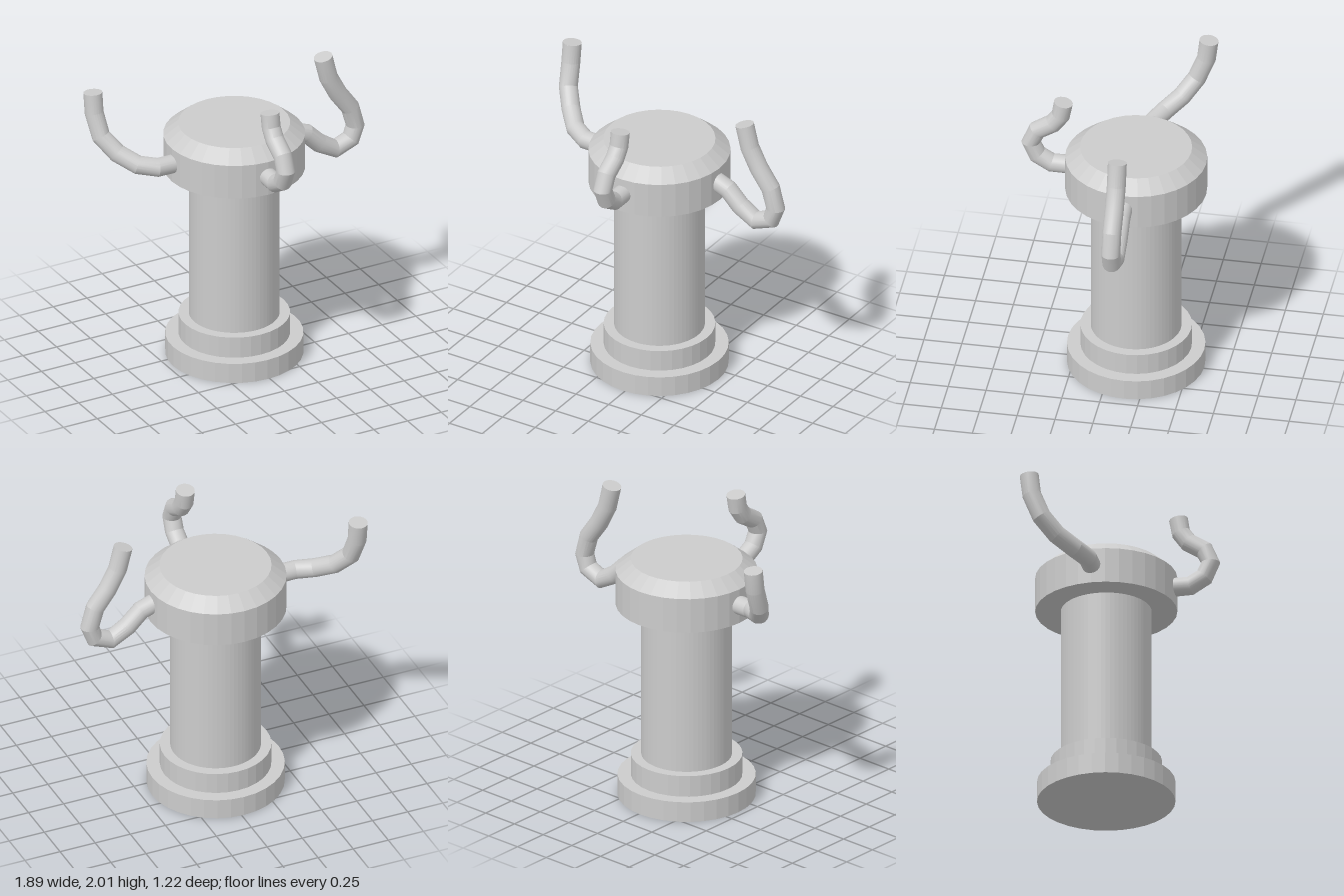
import * as THREE from 'three';
import { toCreasedNormals } from 'three/addons/utils/BufferGeometryUtils.js';

const CX = -0.015, CZ = -0.148;
const ARM_RADIUS = 0.062;
const material = new THREE.MeshStandardMaterial({ color: 0xcccccc });
const faceted = new THREE.MeshStandardMaterial({ color: 0xcccccc, flatShading: true });

// Straight runs between points, with averaged tangents at the bends
class BentPath extends THREE.Curve {
  constructor(points) {
    super();
    this.points = points.map((p) => new THREE.Vector3(...p));
  }
  getPointAt(t) {
    const n = this.points.length - 1;
    const i = Math.min(Math.floor(t * n + 1e-6), n - 1);
    return this.points[i].clone().lerp(this.points[i + 1], t * n - i);
  }
  getTangentAt(t) {
    const n = this.points.length - 1;
    const i = Math.round(t * n);
    const dir = (a, b) => this.points[b].clone().sub(this.points[a]).normalize();
    const before = dir(Math.max(i - 1, 0), Math.max(i, 1));
    const after = dir(Math.min(i, n - 1), Math.min(i + 1, n));
    return before.add(after).normalize();
  }
}

// Upright round section of the body
function drum(name, rTop, rBottom, y0, y1, sides) {
  const mesh = new THREE.Mesh(new THREE.CylinderGeometry(rTop, rBottom, y1 - y0, sides), faceted);
  mesh.name = name;
  mesh.position.set(CX, (y0 + y1) / 2, CZ);
  return mesh;
}

// Bent pipe with a flat disc closing its free end
function arm(name, points) {
  const group = new THREE.Group();
  group.name = name;
  const path = new BentPath(points);
  const tube = new THREE.TubeGeometry(path, points.length - 1, ARM_RADIUS, 24, false);
  const pipe = new THREE.Mesh(toCreasedNormals(tube, 0.3), material);
  pipe.name = name + 'Pipe';
  const tip = new THREE.Mesh(new THREE.CircleGeometry(ARM_RADIUS, 24), material);
  tip.name = name + 'Tip';
  tip.position.copy(path.getPointAt(1));
  tip.quaternion.setFromUnitVectors(new THREE.Vector3(0, 0, 1), path.getTangentAt(1));
  group.add(pipe, tip);
  return group;
}

export function createModel() {
  const model = new THREE.Group();
  model.name = 'pillarWithArms';

  // Stepped foot, column and bevelled head
  model.add(
    drum('base', 0.45, 0.45, 0, 0.14, 32),
    drum('step', 0.363, 0.363, 0.14, 0.287, 32),
    drum('column', 0.295, 0.295, 0.287, 1.36, 64),
    drum('head', 0.462, 0.462, 1.36, 1.6, 32),
    drum('headBevel', 0.364, 0.462, 1.6, 1.68, 32),
  );

  // Left arm dips, then rises
  const leftZ = -0.142;
  model.add(arm('leftArm', [
    [0.38, 1.515], [0.515, 1.465], [0.61, 1.37], [0.73, 1.3], [0.845, 1.345],
    [0.878, 1.437], [0.84, 1.575], [0.75, 1.7], [0.68, 1.835], [0.64, 1.995],
  ].map(([x, y]) => [x, y, leftZ])));

  // Right arm sweeps outward, backward and up
  model.add(arm('rightArm', [
    [-0.4, 1.488, -0.15], [-0.58, 1.49, -0.15], [-0.695, 1.51, -0.21], [-0.793, 1.575, -0.31],
    [-0.867, 1.68, -0.395], [-0.885, 1.83, -0.455], [-0.885, 1.97, -0.472],
  ]));

  // Front arm curls forward, then back up
  model.add(arm('frontArm', [
    [0.25, 1.49], [0.41, 1.49], [0.503, 1.545], [0.546, 1.64], [0.505, 1.733],
    [0.4, 1.8], [0.35, 1.87], [0.332, 1.97],
  ].map(([z, y]) => [CX, y, z])));

  return model;
}
